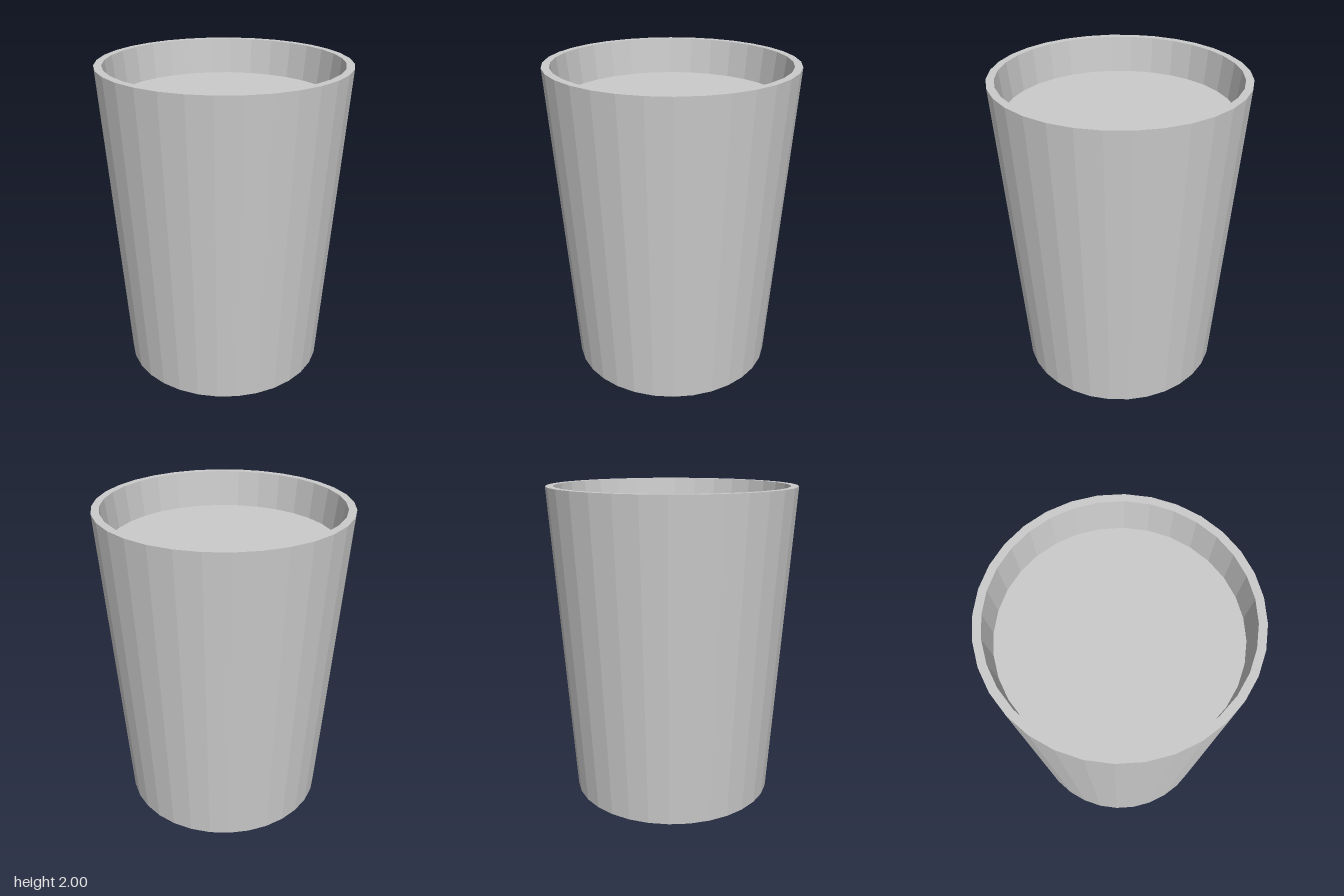
import * as THREE from 'three';

const SIDES = 32;
const HEIGHT = 2;
const FILL_Y = 1.77;

export function createModel() {
  const model = new THREE.Group();
  model.name = 'cup';
  const material = new THREE.MeshStandardMaterial({ color: 0xcccccc, flatShading: true });

  // Tapered shell: underside, outer wall, flat rim, inner wall
  const profile = [
    [0, 0], [0.65, 0], [0.782, HEIGHT], [0.734, HEIGHT], [0.708, FILL_Y],
  ].map(([r, y]) => new THREE.Vector2(r, y));
  const shell = new THREE.Mesh(new THREE.LatheGeometry(profile, SIDES), material);
  shell.name = 'cupShell';
  model.add(shell);

  // Flat surface of the filling, just below the rim
  const disc = new THREE.CircleGeometry(0.708, SIDES).rotateX(-Math.PI / 2);
  const filling = new THREE.Mesh(disc, material);
  filling.name = 'fillingSurface';
  filling.position.y = FILL_Y;
  model.add(filling);

  return model;
}
